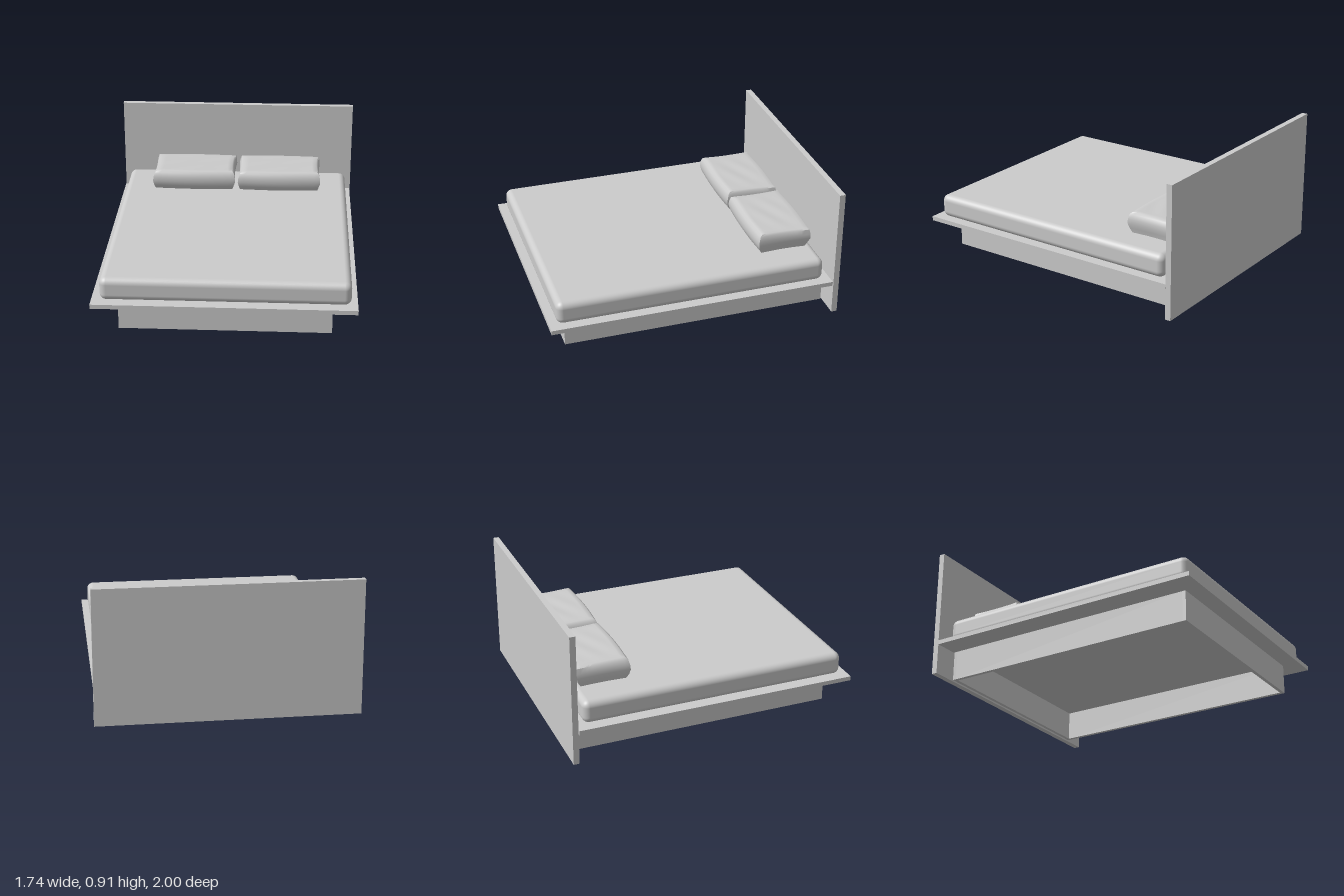
import * as THREE from 'three';
import { toCreasedNormals } from 'three/addons/utils/BufferGeometryUtils.js';
import { RoundedBoxGeometry } from 'three/addons/geometries/RoundedBoxGeometry.js';

const material = new THREE.MeshStandardMaterial({ color: 0xcccccc });

function addMesh(parent, name, geometry, x = 0, y = 0, z = 0) {
  const mesh = new THREE.Mesh(geometry, material);
  mesh.name = name;
  mesh.position.set(x, y, z);
  parent.add(mesh);
  return mesh;
}

// Box given by its lower and upper limits on each axis
function addBoard(parent, name, [x0, x1], [y0, y1], [z0, z1]) {
  const geometry = new THREE.BoxGeometry(x1 - x0, y1 - y0, z1 - z0);
  return addMesh(parent, name, geometry, (x0 + x1) / 2, (y0 + y1) / 2, (z0 + z1) / 2);
}

// Soft pillow: a subdivided box fitted to outlines at several heights
function pillowGeometry() {
  // [height, left edge, right edge, back edge, front edge]
  const levels = [
    [0.000, 0.017, 0.590, -0.860, -0.520],
    [0.030, 0.008, 0.598, -0.876, -0.502],
    [0.065, 0.000, 0.610, -0.890, -0.493],
    [0.095, 0.004, 0.609, -0.892, -0.495],
    [0.130, 0.016, 0.602, -0.884, -0.504],
    [0.141, 0.036, 0.590, -0.872, -0.520],
  ];
  const steps = levels.length - 1;
  const geometry = new THREE.BoxGeometry(1, 1, 1, 16, steps, 12);
  const position = geometry.attributes.position;
  for (let i = 0; i < position.count; i++) {
    const u = position.getX(i) + 0.5;
    const v = position.getZ(i) + 0.5;
    const level = Math.round((position.getY(i) + 0.5) * steps);
    const [height, x0, x1, z0, z1] = levels[level];
    const bowX = Math.sin(Math.PI * v), bowZ = Math.sin(Math.PI * u);
    // Long edges bow outwards, short edges pull slightly in
    const x = THREE.MathUtils.lerp(x0 + 0.006 * bowX, x1 - 0.008 * bowX, u);
    const z = THREE.MathUtils.lerp(z0 + 0.012 * (1 - bowZ), z1 - 0.012 * (1 - bowZ), v);
    let y = height;
    if (level === steps) {
      // Gentle creases on the upper face, which dips towards the back
      const inside = bowX * bowZ;
      y += 0.003 * inside * Math.sin(9 * u + 13 * v) - 0.006 * (1 - v) + 0.003 * v;
    }
    position.setXYZ(i, x, y, z);
  }
  return toCreasedNormals(geometry, 0.9);
}

export function createModel() {
  const bed = new THREE.Group();
  bed.name = 'bed';

  addBoard(bed, 'headboard', [-0.87, 0.87], [0, 0.91], [-1, -0.96]);
  addBoard(bed, 'platform', [-0.873, 0.866], [0.21, 0.24], [-0.957, 1]);

  // Hollow plinth, open underneath
  const plinth = new THREE.Group();
  plinth.name = 'plinth';
  bed.add(plinth);
  const wall = 0.025, y = [0.004, 0.21];
  addBoard(plinth, 'frontRail', [-0.705, 0.705], y, [0.88 - wall, 0.88]);
  addBoard(plinth, 'backRail', [-0.705, 0.705], y, [-0.95, -0.95 + wall]);
  for (const side of [-1, 1]) {
    const inner = side * (0.705 - wall), outer = side * 0.705;
    addBoard(plinth, side > 0 ? 'leftRail' : 'rightRail',
      [Math.min(inner, outer), Math.max(inner, outer)], y, [-0.95 + wall, 0.88 - wall]);
  }

  addMesh(bed, 'mattress', new RoundedBoxGeometry(1.64, 0.16, 1.855, 6, 0.045), 0.003, 0.32, 0.0225);

  const pillow = pillowGeometry();
  addMesh(bed, 'rightPillow', pillow, -0.61, 0.4, 0);
  addMesh(bed, 'leftPillow', pillow, 0.02, 0.4, 0);

  return bed;
}
